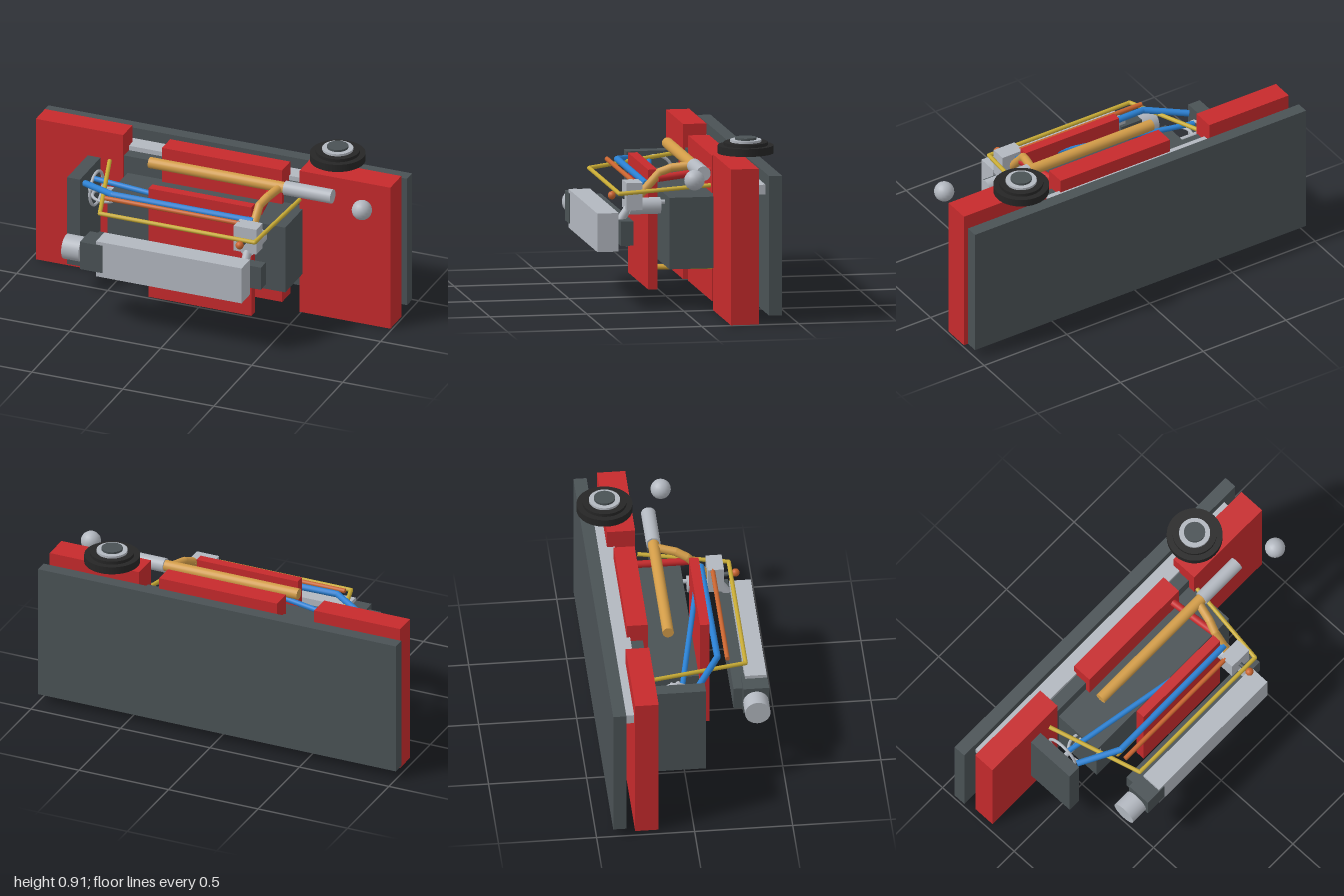
import * as THREE from 'three';

const mat = (name, color) => {
  const m = new THREE.MeshStandardMaterial({ color });
  m.name = name;
  return m;
};

export function createModel() {
  const model = new THREE.Group();
  const red = mat('red', 0xc62a2c);
  const dark = mat('slate', 0x4a5255);
  const grey = mat('light grey', 0xb2b7bf);
  const tan = mat('tan', 0xd29c48);
  const yellow = mat('yellow', 0xc8ab35);
  const brass = mat('brass', 0xc09530);
  const orange = mat('orange', 0xc8642f);
  const blue = mat('blue', 0x2a80d2);
  const black = mat('black', 0x262626);

  const add = (name, geo, m, parent = model) => {
    const mesh = new THREE.Mesh(geo, m);
    mesh.name = name;
    parent.add(mesh);
    return mesh;
  };
  // Box given by its extents along each axis
  const box = (name, m, [x0, x1], [y0, y1], [z0, z1]) => {
    const b = add(name, new THREE.BoxGeometry(x1 - x0, y1 - y0, z1 - z0), m);
    b.position.set((x0 + x1) / 2, (y0 + y1) / 2, (z0 + z1) / 2);
  };
  // Straight round bar between two points
  const up = new THREE.Vector3(0, 1, 0);
  const rod = (name, m, a, b, r, parent = model, sides = 20) => {
    const p = new THREE.Vector3(...a), q = new THREE.Vector3(...b);
    const d = q.clone().sub(p);
    const mesh = add(name, new THREE.CylinderGeometry(r, r, d.length(), sides), m, parent);
    mesh.position.copy(p).add(q).multiplyScalar(0.5);
    mesh.quaternion.setFromUnitVectors(up, d.normalize());
  };
  const ball = (name, m, p, r, w = 16, h = 12) =>
    add(name, new THREE.SphereGeometry(r, w, h), m).position.set(...p);
  // Bent pipe: straight bars with rounded joints
  const pipe = (name, m, pts, r) => {
    const g = new THREE.Group();
    g.name = name;
    model.add(g);
    pts.slice(1).forEach((p, i) => {
      rod(name + 'Bar', m, pts[i], p, r, g, 12);
      if (i > 0) add(name + 'Joint', new THREE.SphereGeometry(r, 12, 8), m, g).position.set(...pts[i]);
    });
  };

  // Back plate, rail and core panel
  box('backPlate', dark, [-1, 1], [0.045, 0.762], [-0.415, -0.348]);
  box('rail', grey, [-0.92, 0.915], [0.655, 0.705], [-0.345, -0.255]);
  box('corePanel', dark, [-0.49, 0.49], [0.13, 0.68], [-0.26, -0.19]);

  // Red side and centre panels
  box('rightPanel', red, [-0.97, -0.49], [0.003, 0.8], [-0.3, -0.18]);
  box('leftPanel', red, [0.49, 0.99], [0, 0.8], [-0.296, -0.152]);
  box('centrePanel', red, [-0.27, 0.39], [0.03, 0.777], [-0.272, -0.165]);
  box('frontPanel', red, [-0.21, 0.355], [0.093, 0.708], [0.108, 0.157]);

  // Main block and side plate
  box('mainBlock', dark, [-0.47, 0.507], [0.218, 0.585], [-0.25, 0.075]);
  box('sidePlate', dark, [-0.685, -0.615], [0.157, 0.648], [-0.18, 0.09]);

  // Front unit with its end cap and round motor
  box('frontUnit', grey, [-0.385, 0.415], [0.302, 0.5], [0.32, 0.43]);
  box('frontUnitBack', dark, [-0.44, 0.475], [0.34, 0.465], [0.255, 0.32]);
  box('frontUnitCap', dark, [-0.472, -0.35], [0.328, 0.482], [0.302, 0.434]);
  rod('motor', grey, [-0.577, 0.406, 0.365], [-0.482, 0.406, 0.365], 0.065, model, 32);

  // Control block and its connections
  box('controlBlock', grey, [0.31, 0.435], [0.515, 0.655], [0.2, 0.283]);
  rod('controlCylinder', grey, [0.375, 0.527, 0.1], [0.375, 0.527, 0.26], 0.043);
  rod('cylinderShaft', grey, [0.375, 0.545, 0.06], [0.375, 0.545, 0.1], 0.012);
  rod('diagonalPipe', grey, [0.38, 0.54, 0.25], [0.38, 0.43, 0.325], 0.022);
  rod('knobStem', dark, [0.37, 0.575, 0.27], [0.37, 0.583, 0.335], 0.012);
  ball('knob', orange, [0.37, 0.585, 0.347], 0.021);

  // Upper pipe with grey sleeve and branch
  rod('upperPipe', tan, [-0.295, 0.737, -0.063], [0.455, 0.737, -0.063], 0.029);
  rod('pipeSleeve', grey, [0.45, 0.737, -0.063], [0.71, 0.737, -0.063], 0.037, model, 28);
  pipe('branchPipe', tan, [
    [0.42, 0.735, -0.05], [0.395, 0.722, 0.045], [0.375, 0.698, 0.1], [0.37, 0.57, 0.215],
  ], 0.022);
  rod('redStrut', red, [0.345, 0.695, -0.18], [0.38, 0.667, 0.112], 0.019);

  // Blue hoses, orange rod and yellow frame
  pipe('frontHose', blue, [[-0.6, 0.617, 0.06], [-0.4, 0.645, 0.177], [0.37, 0.64, 0.17]], 0.017);
  rod('rearHose', blue, [-0.58, 0.61, -0.02], [0.36, 0.64, 0.16], 0.014);
  rod('orangeRod', orange, [-0.42, 0.644, 0.226], [0.32, 0.644, 0.226], 0.012);
  pipe('yellowFrame', yellow, [
    [-0.56, 0.645, -0.17], [-0.41, 0.602, 0.32], [0.44, 0.602, 0.32], [0.497, 0.643, -0.14],
  ], 0.011);
  pipe('lowerPipe', brass, [[-0.3, 0.16, -0.13], [-0.3, 0.16, 0.06], [0.05, 0.16, 0.06], [0.4, 0.21, -0.16]], 0.014);

  // Small wheels beside the side plate
  const ring = add('uprightRing', new THREE.TorusGeometry(0.088, 0.008, 10, 36), grey);
  ring.rotation.y = Math.PI / 2;
  ring.position.set(-0.585, 0.54, -0.055);
  const flatRing = add('flatRing', new THREE.TorusGeometry(0.078, 0.008, 10, 36), grey);
  flatRing.rotation.x = Math.PI / 2;
  flatRing.position.set(-0.495, 0.547, 0.01);
  rod('ringAxle', grey, [-0.615, 0.545, -0.03], [-0.46, 0.545, -0.03], 0.014);

  // Sphere beside the left panel
  ball('sideBall', grey, [0.905, 0.737, 0.02], 0.052, 18, 12);

  // Stepped wheel above the left panel
  const wheel = [
    ['tyre', black, 0.142, 0.828, 0.868], ['tyreStep', black, 0.112, 0.868, 0.885],
    ['hub', grey, 0.079, 0.885, 0.897], ['hubCap', dark, 0.054, 0.897, 0.908],
  ];
  for (const [name, m, r, y0, y1] of wheel)
    rod(name, m, [0.642, y0, -0.293], [0.642, y1, -0.293], r, model, 40);

  return model;
}
